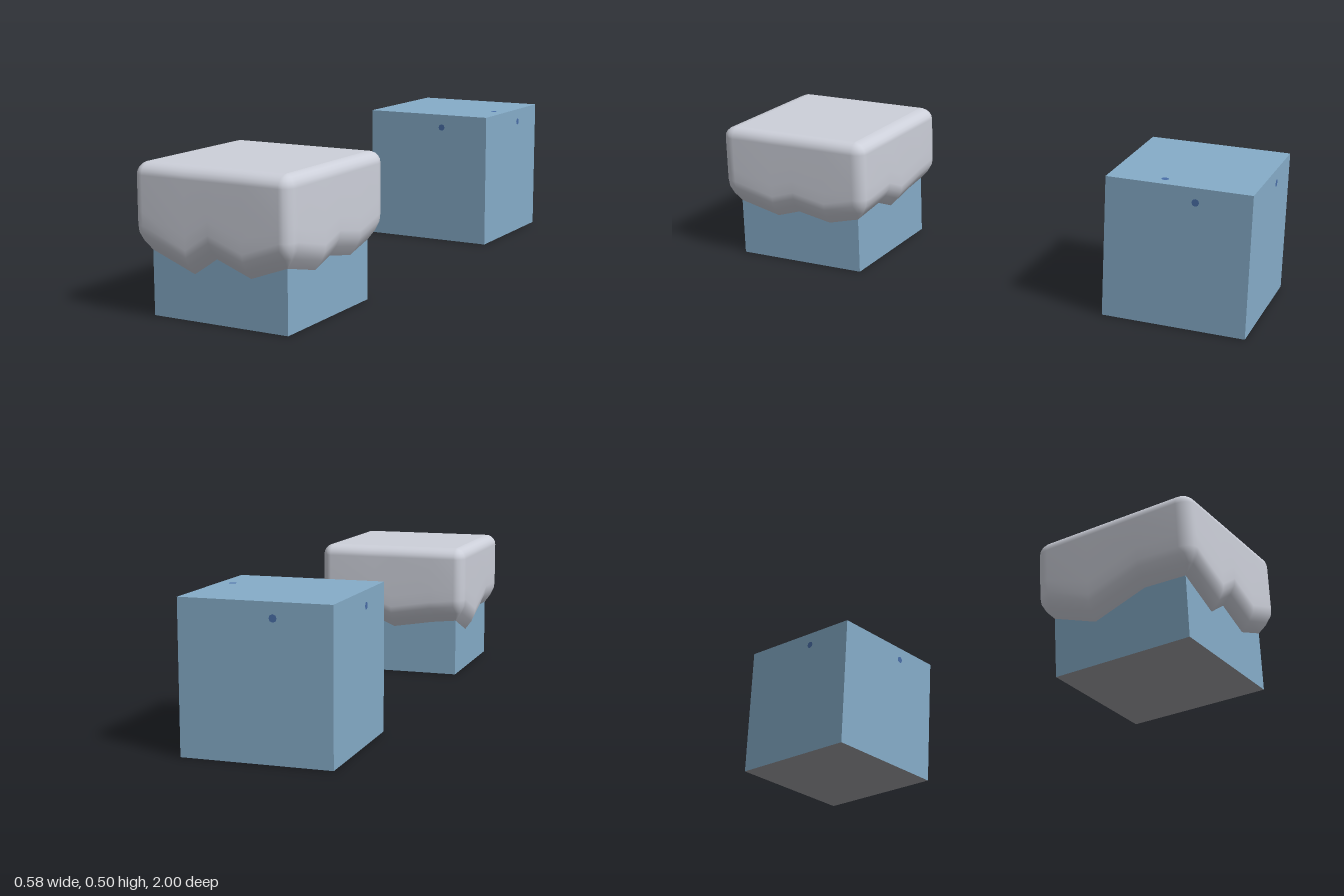
import * as THREE from 'three';

const mat = (name, color, side = THREE.FrontSide) => {
  const m = new THREE.MeshStandardMaterial({ color, side });
  m.name = name;
  return m;
};

// Snow edge height on each side of the block: [position along the side, y]
const SIDES = [
  [[0, 0.205], [0.24, 0.175], [0.5, 0.2], [0.68, 0.172], [1, 0.21]],   // +x
  [[0, 0.21], [0.26, 0.163], [0.51, 0.21], [0.68, 0.153], [1, 0.215]], // +z
  [[0, 0.215], [0.3, 0.22], [0.68, 0.155], [1, 0.215]],                // -x
  [[0, 0.215], [0.19, 0.205], [0.5, 0.18], [0.69, 0.22], [1, 0.205]],  // -z
];
const HALF = 0.25, OUT_X = 0.04, OUT_Z = 0.05, TOP = 0.5, ROUND = 0.04, ARC = 4;

// Walk round the block: core point, outward direction and snow edge height
function perimeter() {
  const points = [];
  SIDES.forEach((side, k) => {
    const a = k * Math.PI / 2, c = Math.cos(a), s = Math.sin(a);
    const add = (t, angle, edge) => {
      const u = (t - 0.5) * 2 * HALF;
      points.push({ x: c * HALF - s * u, z: s * HALF + c * u, nx: Math.cos(angle), nz: Math.sin(angle), edge });
    };
    side.forEach(([t, y]) => add(t, a, y));
    for (let i = 1; i < ARC; i++) add(1, a + i / ARC * Math.PI / 2, side[side.length - 1][1]);
  });
  return points;
}

// Rounded shoulder, straight wall, then an inward curl to the wavy edge
function snowGeometry() {
  const rings = [];
  for (let i = 0; i <= 5; i++) {
    const b = i / 5 * Math.PI / 2;
    rings.push([Math.sin(b), () => TOP - ROUND + ROUND * Math.cos(b)]);
  }
  rings.push([1, (e) => e + 0.13], [1, (e) => e + 0.085], [0.93, (e) => e + 0.06], [0.6, (e) => e + 0.032], [0, (e) => e]);
  const around = perimeter(), n = around.length, pos = [], index = [];
  rings.forEach(([d, y], r) => around.forEach((p, j) => {
    pos.push(p.x + p.nx * OUT_X * d, y(p.edge), p.z + p.nz * OUT_Z * d);
    if (r === rings.length - 1) return;
    const A = r * n + j, B = r * n + (j + 1) % n;
    index.push(A, B, A + n, B, B + n, A + n);
  }));
  const g = new THREE.BufferGeometry();
  g.setAttribute('position', new THREE.Float32BufferAttribute(pos, 3));
  g.setIndex(index);
  g.computeVertexNormals();
  return g;
}

export function createModel() {
  const model = new THREE.Group();
  const blue = mat('blockBlue', 0x86adc9);
  const under = mat('undersideGrey', 0xa4a4a9);
  const snow = mat('snowWhite', 0xcdd0da, THREE.DoubleSide);
  const dark = mat('speckBlue', 0x4a6fa8);

  const add = (name, geometry, material, parent, x, y, z) => {
    const m = new THREE.Mesh(geometry, material);
    m.name = name;
    m.position.set(x, y, z);
    parent.add(m);
    return m;
  };
  const blockMaterials = [blue, blue, blue, under, blue, blue];

  // Plain block with a small speck on every side and the top
  const plain = new THREE.Group();
  plain.name = 'plainBlock';
  plain.position.z = -0.75;
  add('block', new THREE.BoxGeometry(0.5, 0.5, 0.5), blockMaterials, plain, 0, 0.25, 0);
  const speck = new THREE.CircleGeometry(0.013, 8);
  for (let k = 0; k < 4; k++) {
    const face = new THREE.Group();
    face.name = 'sideSpeck';
    face.rotation.y = k * Math.PI / 2;
    add('speck', speck, dark, face, 0.06, 0.45, 0.251);
    plain.add(face);
  }
  add('topSpeck', speck, dark, plain, 0.2, 0.501, 0.06).rotation.x = -Math.PI / 2;

  // Block under a thick cap of snow
  const snowy = new THREE.Group();
  snowy.name = 'snowyBlock';
  snowy.position.z = 0.7;
  add('block', new THREE.BoxGeometry(0.5, 0.46, 0.5), blockMaterials, snowy, 0, 0.23, 0);
  add('snowCap', snowGeometry(), snow, snowy, 0, 0, 0);
  add('snowTop', new THREE.PlaneGeometry(0.5, 0.5), snow, snowy, 0, TOP, 0).rotation.x = -Math.PI / 2;

  model.add(plain, snowy);
  return model;
}
